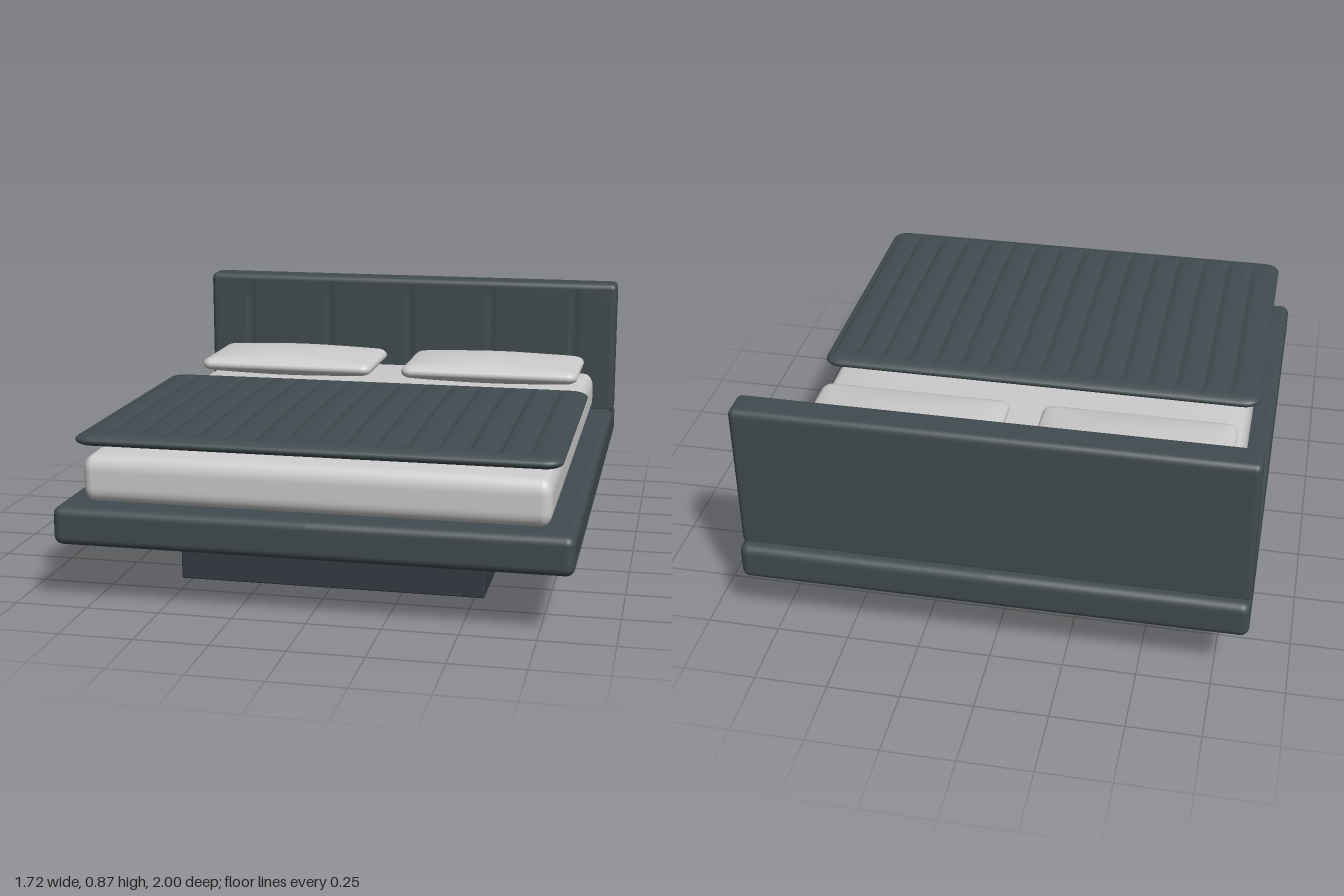
import * as THREE from 'three';
import { mergeVertices } from 'three/addons/utils/BufferGeometryUtils.js';

const EDGE = 5; // cells spent on each rounded edge

const fabric = new THREE.MeshStandardMaterial({ color: 0x414b50 });
const darkWood = new THREE.MeshStandardMaterial({ color: 0x353b43 });
const linen = new THREE.MeshStandardMaterial({ color: 0xcccccc });

// Rounded slab: half sizes, edge radii and inner cell counts per axis [x, y, z],
// then an optional rule that moves each vertex (p = position, q = share of half size).
function slab(half, radius, cells, rule) {
  const n = cells.map((c) => c + 2 * EDGE);
  let geo = new THREE.BoxGeometry(2, 2, 2, ...n);
  geo.deleteAttribute('uv');
  geo.deleteAttribute('normal');
  geo = mergeVertices(geo, 1e-5);
  const pos = geo.attributes.position;
  for (let v = 0; v < pos.count; v++) {
    const core = [], off = [];
    for (let a = 0; a < 3; a++) {
      const i = Math.round(((pos.getComponent(v, a) + 1) / 2) * n[a]);
      const inner = half[a] - radius[a];
      const k = THREE.MathUtils.clamp(i - EDGE, 0, cells[a]);
      core[a] = inner * ((2 * k) / cells[a] - 1);
      off[a] = Math.tan(((i - EDGE - k) / EDGE) * Math.PI / 4);
    }
    const len = Math.hypot(...off) || 1;
    const p = core.map((c, a) => c + (off[a] / len) * radius[a]);
    if (rule) rule(p, p.map((c, a) => c / half[a]));
    pos.setXYZ(v, ...p);
  }
  geo.computeVertexNormals();
  return geo;
}

function part(group, name, geo, material, x, y, z) {
  const mesh = new THREE.Mesh(geo, material);
  mesh.name = name;
  mesh.position.set(x, y, z);
  group.add(mesh);
  return mesh;
}

// Narrow seam profile: 1 on the seam line, 0 away from it
const seam = (x, pitch, width) => {
  const d = Math.abs(x - Math.round(x / pitch) * pitch);
  return Math.max(0, 1 - d / width) ** 2;
};

export function createModel() {
  const bed = new THREE.Group();
  bed.name = 'bed';

  // Recessed plinth
  part(bed, 'plinth', slab([0.535, 0.0825, 0.64], [0.006, 0.006, 0.006], [1, 1, 1]), darkWood, 0, 0.0825, 0);

  // Upholstered platform and the shallow panel under it
  part(bed, 'platform', slab([0.862, 0.066, 1], [0.03, 0.03, 0.03], [2, 1, 2]), fabric, 0, 0.276, 0);
  part(bed, 'underPanel', slab([0.75, 0.015, 0.89], [0.15, 0.01, 0.15], [2, 1, 2]), fabric, 0, 0.217, 0);

  // Headboard with vertical seams on its front
  const headboard = slab([0.862, 0.27, 0.058], [0.022, 0.025, 0.022], [112, 12, 1], (p, q) => {
    const fade = Math.min(1, Math.max(0, (0.9 - Math.abs(q[1])) * 20));
    if (q[2] > 0.9) p[2] -= 0.008 * seam(p[0], 0.345, 0.015) * fade;
  });
  part(bed, 'headboard', headboard, fabric, 0, 0.595, -0.902);

  // Mattress with a crowned top
  const mattress = slab([0.78, 0.078, 0.872], [0.035, 0.05, 0.035], [32, 3, 36], (p, q) => {
    if (p[1] > 0) p[1] += 0.036 * (1 - q[0] ** 6) * (1 - q[2] ** 6) * Math.min(1, p[1] / 0.07);
  });
  part(bed, 'mattress', mattress, linen, 0, 0.421, 0.053);

  // Ribbed blanket, channels running lengthwise
  const blanket = slab([0.81, 0.021, 0.535], [0.06, 0.02, 0.05], [150, 1, 20], (p, q) => {
    const fade = Math.min(1, Math.max(0, (0.93 - Math.abs(q[2])) * 12));
    if (p[1] > 0.015) {
      p[1] += 0.011 * (1 - q[0] ** 4) * (1 - q[2] ** 2);
      p[1] -= 0.011 * seam(p[0], 0.1, 0.03) * fade;
    }
  });
  part(bed, 'blanket', blanket, fabric, 0, 0.552, 0.396);

  // Pair of pillows: flat rim around a stuffed middle
  const pillow = slab([0.345, 0.025, 0.195], [0.04, 0.024, 0.04], [36, 1, 24], (p) => {
    const u = Math.min(1, Math.abs(p[0]) / 0.315), v = Math.min(1, Math.abs(p[2]) / 0.178);
    const puff = ((1 - u ** 2) * (1 - v ** 2)) ** 0.8;
    p[1] += Math.sign(p[1]) * 0.028 * puff;
  });
  for (const side of [1, -1]) {
    part(bed, side > 0 ? 'leftPillow' : 'rightPillow', pillow, linen, side * 0.405, 0.571, -0.505);
  }

  return bed;
}
